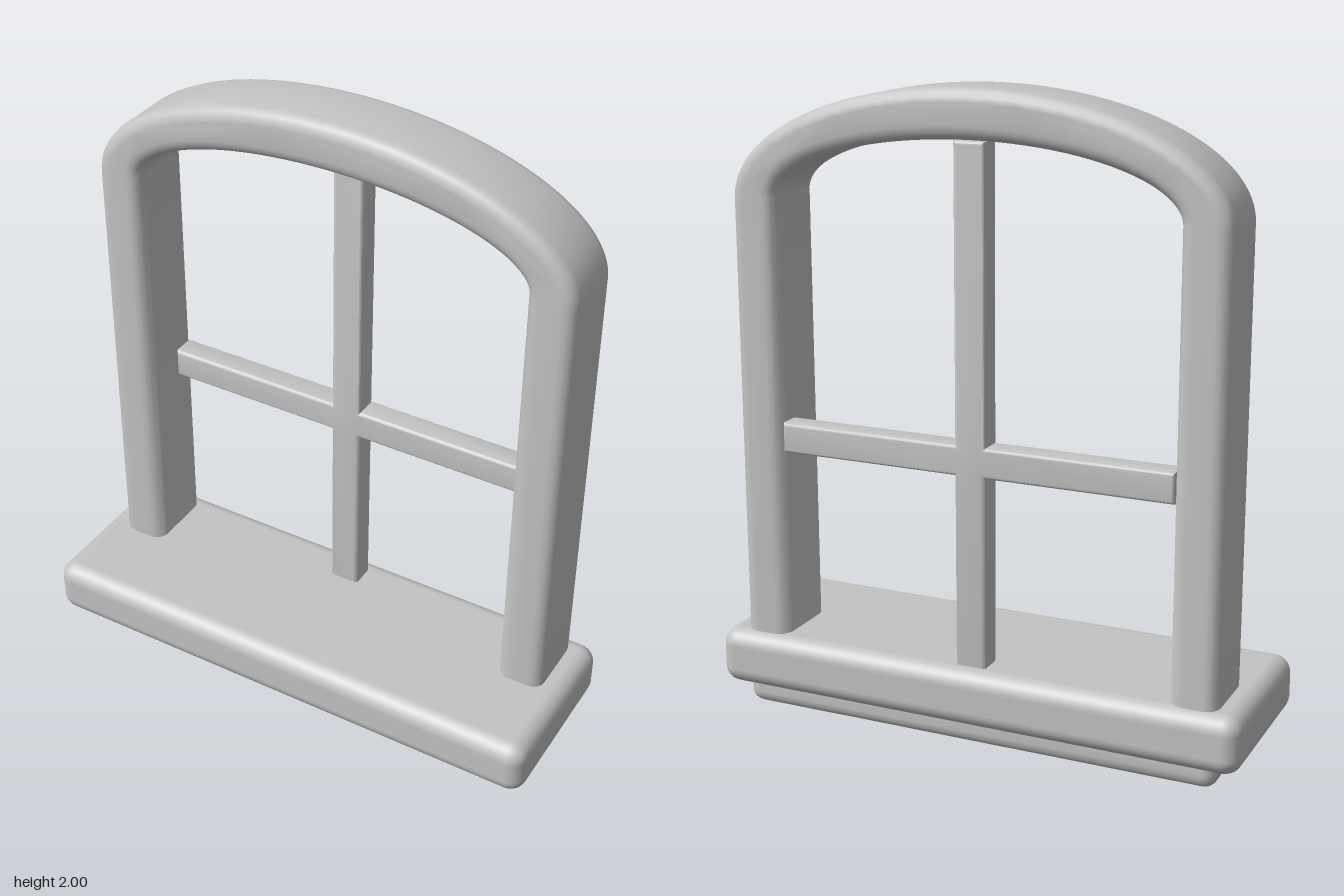
import * as THREE from 'three';
import { toCreasedNormals } from 'three/addons/utils/BufferGeometryUtils.js';
import { RoundedBoxGeometry } from 'three/addons/geometries/RoundedBoxGeometry.js';

// Outline with straight sides, elliptical top and softly rounded bottom corners
function archPath(path, halfWidth, bottom, spring, rise, corner) {
  path.moveTo(-halfWidth + corner, bottom);
  path.lineTo(halfWidth - corner, bottom);
  path.quadraticCurveTo(halfWidth, bottom, halfWidth, bottom + corner);
  path.lineTo(halfWidth, spring);
  path.absellipse(0, spring, halfWidth, rise, 0, Math.PI, false, 0);
  path.lineTo(-halfWidth, bottom + corner);
  path.quadraticCurveTo(-halfWidth, bottom, -halfWidth + corner, bottom);
  return path;
}

// Extrude between two z values with rounded edges that stay inside the outline
function roundedExtrude(shape, back, front, bevel) {
  const geometry = new THREE.ExtrudeGeometry(shape, {
    depth: front - back - 2 * bevel,
    bevelThickness: bevel,
    bevelSize: bevel,
    bevelOffset: -bevel,
    bevelSegments: 4,
    curveSegments: 32,
  });
  geometry.translate(0, 0, back + bevel);
  return toCreasedNormals(geometry, 0.7);
}

export function createModel() {
  const group = new THREE.Group();
  const plaster = new THREE.MeshStandardMaterial({ color: 0xc4c4c4 });
  plaster.name = 'light grey';

  const add = (name, geometry) => {
    const mesh = new THREE.Mesh(geometry, plaster);
    mesh.name = name;
    group.add(mesh);
    return mesh;
  };

  // Arched surround, its bottom rail running under the sill
  const outline = archPath(new THREE.Shape(), 0.79, 0, 1.64, 0.36, 0.05);
  outline.holes.push(archPath(new THREE.Path(), 0.64, 0.15, 1.65, 0.2, 0.01));
  add('archedFrame', roundedExtrude(outline, -0.25, 0, 0.04));

  // Sill projecting to the front
  add('sill', new RoundedBoxGeometry(1.74, 0.185, 0.58, 4, 0.055)).position.y = 0.16;

  // Glazing bars joined as one cross, set near the back
  const w = 0.05, y0 = 0.855, y1 = 0.95, end = 0.64;
  const cross = new THREE.Shape([
    [-w, 0.15], [w, 0.15], [w, y0], [end, y0], [end, y1], [w, y1],
    [w, 1.85], [-w, 1.85], [-w, y1], [-end, y1], [-end, y0], [-w, y0],
  ].map(([x, y]) => new THREE.Vector2(x, y)));
  add('glazingBars', roundedExtrude(cross, -0.235, -0.15, 0.012));

  return group;
}
